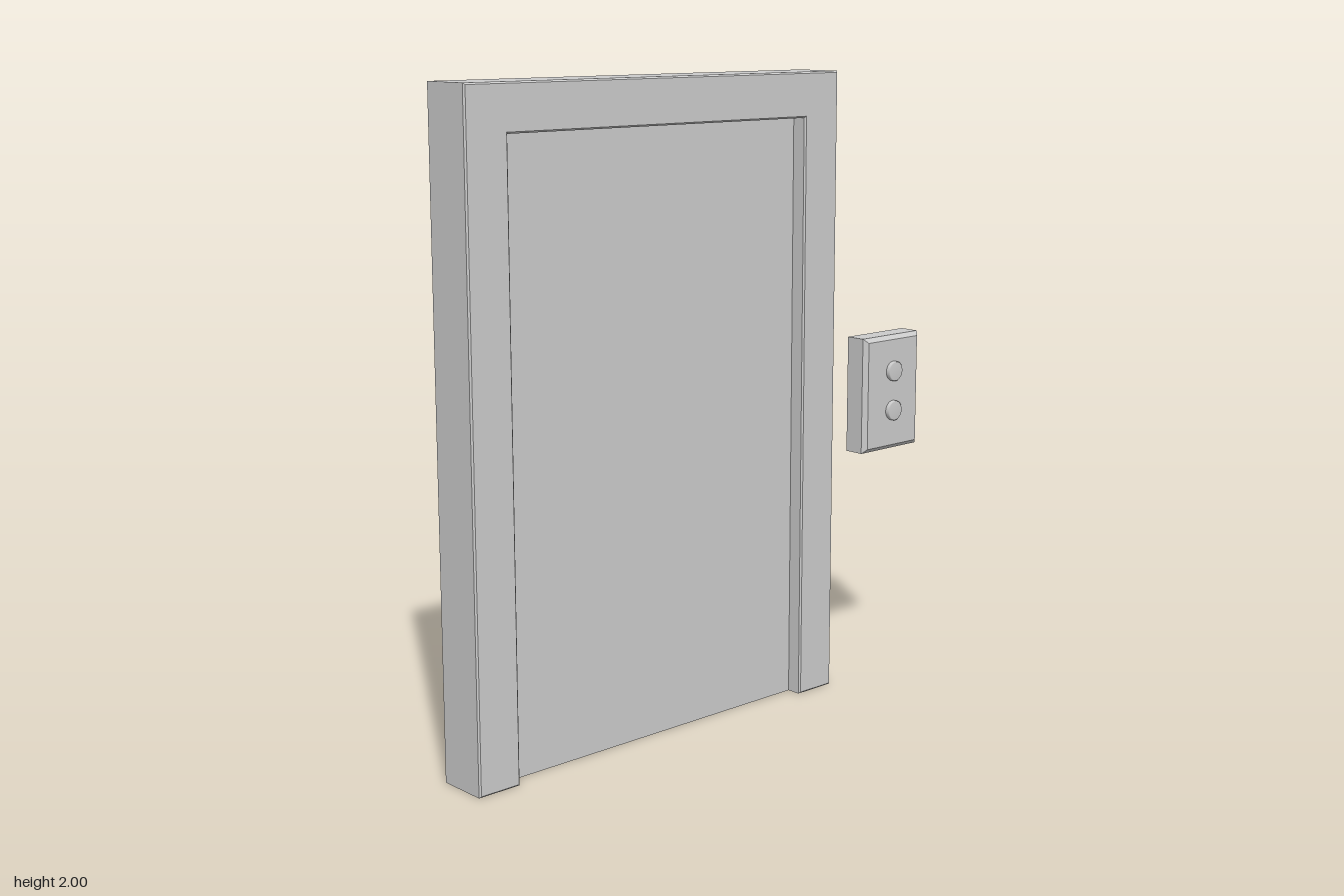
import * as THREE from 'three';

const material = new THREE.MeshStandardMaterial({ color: 0xcccccc });

function add(parent, name, geometry, x = 0, y = 0, z = 0) {
  const mesh = new THREE.Mesh(geometry, material);
  mesh.name = name;
  mesh.position.set(x, y, z);
  parent.add(mesh);
  return mesh;
}

// Portal-shaped surround, extruded with a fine bevel
function frameGeometry() {
  const shape = new THREE.Shape([
    [-0.715, 0], [-0.571, 0], [-0.571, 1.86], [0.571, 1.86],
    [0.571, 0], [0.715, 0], [0.715, 2], [-0.715, 2],
  ].map(([x, y]) => new THREE.Vector2(x, y)));
  const bevel = 0.005;
  return new THREE.ExtrudeGeometry(shape, {
    depth: 0.17 - 2 * bevel, bevelThickness: bevel, bevelSize: bevel,
    bevelOffset: -bevel, bevelSegments: 1,
  }).translate(0, 0, bevel);
}

// Box whose front rim is chamfered: back at z = 0, front at z = depth
function chamferedBox(width, height, depth, chamfer) {
  const geometry = new THREE.BoxGeometry(width, height, depth, 1, 1, 2).translate(0, 0, depth / 2);
  const p = geometry.attributes.position;
  for (let i = 0; i < p.count; i++) {
    const x = p.getX(i), y = p.getY(i), z = p.getZ(i);
    if (z > depth * 0.9) {
      p.setXY(i, x - Math.sign(x) * chamfer, y - Math.sign(y) * chamfer);
    } else if (z > depth * 0.1) {
      p.setZ(i, depth - chamfer);
    }
  }
  const flat = geometry.toNonIndexed();
  flat.computeVertexNormals();
  return flat;
}

// Round push button with a softened front rim, facing +z
function buttonGeometry() {
  const profile = [[0.033, 0], [0.033, 0.011], [0.030, 0.014], [0, 0.014]]
    .map(([r, h]) => new THREE.Vector2(r, h));
  return new THREE.LatheGeometry(profile, 32).rotateX(Math.PI / 2);
}

export function createModel() {
  const model = new THREE.Group();
  model.name = 'elevatorEntrance';

  // Doorway with two sliding leaves
  const doorway = new THREE.Group();
  doorway.name = 'doorway';
  doorway.position.x = -0.205;
  model.add(doorway);
  add(doorway, 'doorFrame', frameGeometry(), 0, 0, -0.09);
  for (const side of [-1, 1]) {
    const leaf = new THREE.BoxGeometry(0.571, 1.86, 0.1);
    add(doorway, side < 0 ? 'rightDoor' : 'leftDoor', leaf, side * 0.2855, 0.93, -0.02);
  }

  // Call panel beside the doorway
  const panel = new THREE.Group();
  panel.name = 'callPanel';
  panel.position.set(0.79, 0.945, 0);
  model.add(panel);
  add(panel, 'panelBody', chamferedBox(0.263, 0.382, 0.08, 0.014));
  add(panel, 'upButton', buttonGeometry(), 0.002, 0.072, 0.08);
  add(panel, 'downButton', buttonGeometry(), 0.002, -0.06, 0.08);

  return model;
}
